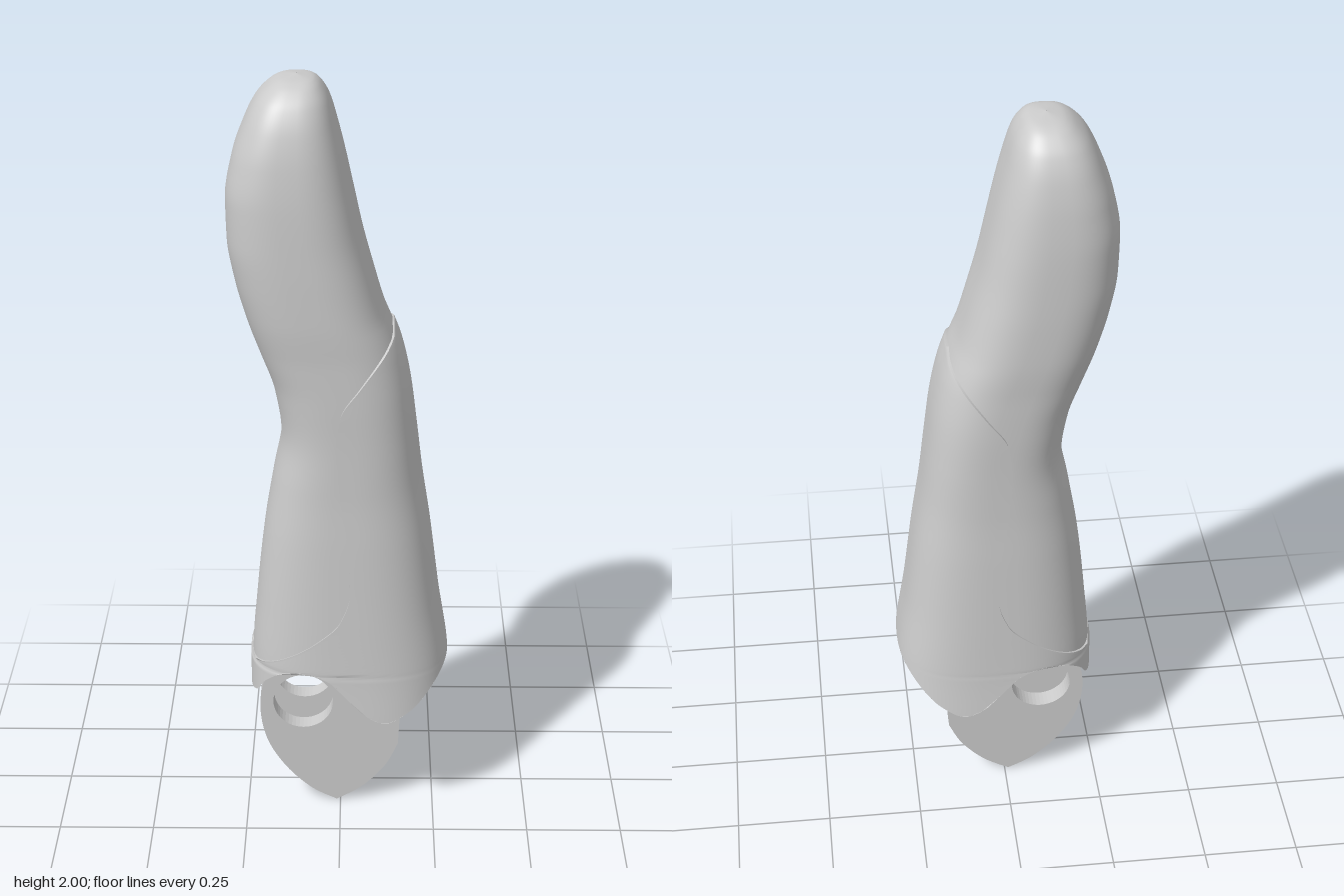
import * as THREE from 'three';
import { mergeVertices } from 'three/addons/utils/BufferGeometryUtils.js';

const grey = new THREE.MeshStandardMaterial({ color: 0xcccccc, side: THREE.DoubleSide });

// Monotone smooth interpolation through rows of [key, value, value, ...]
function curve(rows) {
  const slope = (i, k) => (rows[i + 1][k] - rows[i][k]) / (rows[i + 1][0] - rows[i][0]);
  const tangent = (i, k) => {
    if (i === 0) return slope(0, k);
    if (i === rows.length - 1) return slope(i - 1, k);
    const a = slope(i - 1, k), b = slope(i, k);
    return a * b <= 0 ? 0 : (2 * a * b) / (a + b);
  };
  return (v, k = 1) => {
    const last = rows.length - 1;
    if (v <= rows[0][0]) return rows[0][k];
    if (v >= rows[last][0]) return rows[last][k];
    let i = 0;
    while (v > rows[i + 1][0]) i++;
    const h = rows[i + 1][0] - rows[i][0], s = (v - rows[i][0]) / h, s2 = s * s, s3 = s2 * s;
    return (2 * s3 - 3 * s2 + 1) * rows[i][k] + (s3 - 2 * s2 + s) * h * tangent(i, k)
      + (3 * s2 - 2 * s3) * rows[i + 1][k] + (s3 - s2) * h * tangent(i + 1, k);
  };
}

// Outline by height: [y, palm side x, knuckle side x, half depth]
const outline = curve([
  [0.30, -0.235, 0.290, 0.217], [0.43, -0.235, 0.281, 0.206], [0.60, -0.222, 0.255, 0.198],
  [0.80, -0.200, 0.229, 0.190], [0.95, -0.175, 0.206, 0.184], [1.08, -0.153, 0.190, 0.183],
  [1.20, -0.170, 0.174, 0.184], [1.30, -0.205, 0.152, 0.184], [1.36, -0.227, 0.130, 0.186],
  [1.40, -0.240, 0.113, 0.187], [1.50, -0.267, 0.083, 0.186], [1.60, -0.283, 0.056, 0.183],
  [1.70, -0.285, 0.034, 0.178], [1.80, -0.268, 0.012, 0.167], [1.88, -0.240, -0.008, 0.150],
  [1.94, -0.210, -0.026, 0.125], [1.975, -0.178, -0.046, 0.094], [1.992, -0.150, -0.066, 0.062],
  [2.00, -0.108, -0.107, 0.001],
]);
// Edge of the knuckle cover on the sides: x by height
const seam = curve([
  [0.43, -0.25], [0.48, -0.15], [0.54, -0.06], [0.60, 0], [0.68, 0.025], [0.80, 0.02],
  [0.95, 0], [1.08, -0.01], [1.17, 0], [1.25, 0.05], [1.36, 0.137],
]);
// Wavy bottom edge: y by x
const hem = curve([
  [-0.24, 0.34], [-0.22, 0.36], [-0.2, 0.4], [-0.15, 0.44], [-0.1, 0.45], [-0.05, 0.44],
  [0, 0.405], [0.05, 0.345], [0.12, 0.31], [0.18, 0.335], [0.285, 0.44],
]);

const N = 2.8;
const power = (v, p) => Math.sign(v) * Math.abs(v) ** p;

// Point on the rounded section at height y, angle t, kept above the hem
function skin(y, t, grow, lift = 0) {
  let x, z, yy = y;
  for (let i = 0; i < 4; i++) {
    const l = outline(yy, 1) - grow, r = outline(yy, 2) + grow, d = outline(yy, 3) + grow;
    x = (l + r) / 2 + ((r - l) / 2) * power(Math.cos(t), 2 / N);
    z = d * power(Math.sin(t), 2 / N);
    if (i < 3) yy = Math.max(y, hem(x) + lift);
  }
  return [x, yy, z];
}

// Angle at which the section meets the cover's edge
function seamAngle(y) {
  const l = outline(y, 1), r = outline(y, 2);
  const c = THREE.MathUtils.clamp((seam(y) - (l + r) / 2) / ((r - l) / 2), -1, 1);
  return Math.acos(power(c, N / 2));
}

// Smooth surface over a grid of points
function surface(name, rows, cols, at) {
  const pos = [], idx = [];
  for (let i = 0; i <= rows; i++) for (let j = 0; j <= cols; j++) pos.push(...at(i / rows, j / cols));
  for (let i = 0; i < rows; i++) for (let j = 0; j < cols; j++) {
    const a = i * (cols + 1) + j, c = a + cols + 1;
    idx.push(a, c, a + 1, a + 1, c, c + 1);
  }
  let geo = new THREE.BufferGeometry();
  geo.setAttribute('position', new THREE.Float32BufferAttribute(pos, 3));
  geo.setIndex(idx);
  geo = mergeVertices(geo, 1e-5);
  geo.computeVertexNormals();
  const mesh = new THREE.Mesh(geo, grey);
  mesh.name = name;
  return mesh;
}

function extrude(name, shape, depth) {
  const geo = new THREE.ExtrudeGeometry(shape, { depth, bevelEnabled: false, curveSegments: 24 });
  const mesh = new THREE.Mesh(geo, grey);
  mesh.name = name;
  return mesh;
}

export function createModel() {
  const model = new THREE.Group();
  const cover = 0.006, low = 0.3, high = 1.36;

  // Fingertip and palm side, rows gathered towards the rounded tip
  model.add(surface('fingerBody', 110, 72, (v, u) =>
    skin(0.36 + 1.64 * Math.sin((v * Math.PI) / 2), (u * 2 - 1) * Math.PI, 0, 0.03)));

  // Cover over the knuckle side, wrapping fully round at the bottom
  const height = v => low + (high - low) * v;
  model.add(surface('knuckleCover', 110, 72, (v, u) =>
    skin(height(v), (u * 2 - 1) * seamAngle(height(v)), cover)));

  // Thin lip closing the cover's edge on each side
  for (const s of [-1, 1]) {
    model.add(surface(s > 0 ? 'frontCoverLip' : 'backCoverLip', 110, 1, (v, u) =>
      skin(height(v), s * seamAngle(height(v)), cover - u * 0.02)));
  }

  // Wavy underside, spanning front to back
  model.add(surface('underside', 60, 1, (v, u) => {
    const [x, y, z] = skin(low, v * Math.PI, cover);
    return [x, y, z * (1 - 2 * u)];
  }));

  // Hinge fork: two pointed plates with a pin hole
  const plate = new THREE.Shape();
  plate.moveTo(-0.19, 0.43);
  plate.splineThru([[-0.215, 0.31], [-0.2, 0.2], [-0.15, 0.11], [-0.08, 0.04], [-0.01, 0.002]]
    .map(p => new THREE.Vector2(...p)));
  plate.splineThru([[0.06, 0.045], [0.12, 0.11], [0.155, 0.18]].map(p => new THREE.Vector2(...p)));
  plate.lineTo(0.16, 0.28);
  plate.quadraticCurveTo(0.163, 0.31, 0.18, 0.34);
  plate.lineTo(0.16, 0.43);
  plate.closePath();
  const hole = new THREE.Path();
  hole.absarc(-0.1, 0.31, 0.08, 0, Math.PI * 2, true);
  plate.holes.push(hole);
  for (const s of [-1, 1]) {
    const prong = extrude(s > 0 ? 'frontProng' : 'backProng', plate, 0.05);
    prong.position.z = s > 0 ? 0.055 : -0.105;
    model.add(prong);
  }

  // Arched web joining the prongs
  const arch = new THREE.Shape();
  arch.moveTo(-0.056, 0.22);
  arch.lineTo(-0.056, 0.4);
  arch.lineTo(0.056, 0.4);
  arch.lineTo(0.056, 0.22);
  arch.absellipse(0, 0.22, 0.055, 0.07, 0, Math.PI, false);
  const web = extrude('prongWeb', arch, 0.13);
  web.rotation.y = Math.PI / 2;
  web.position.x = 0.025;
  model.add(web);

  return model;
}
